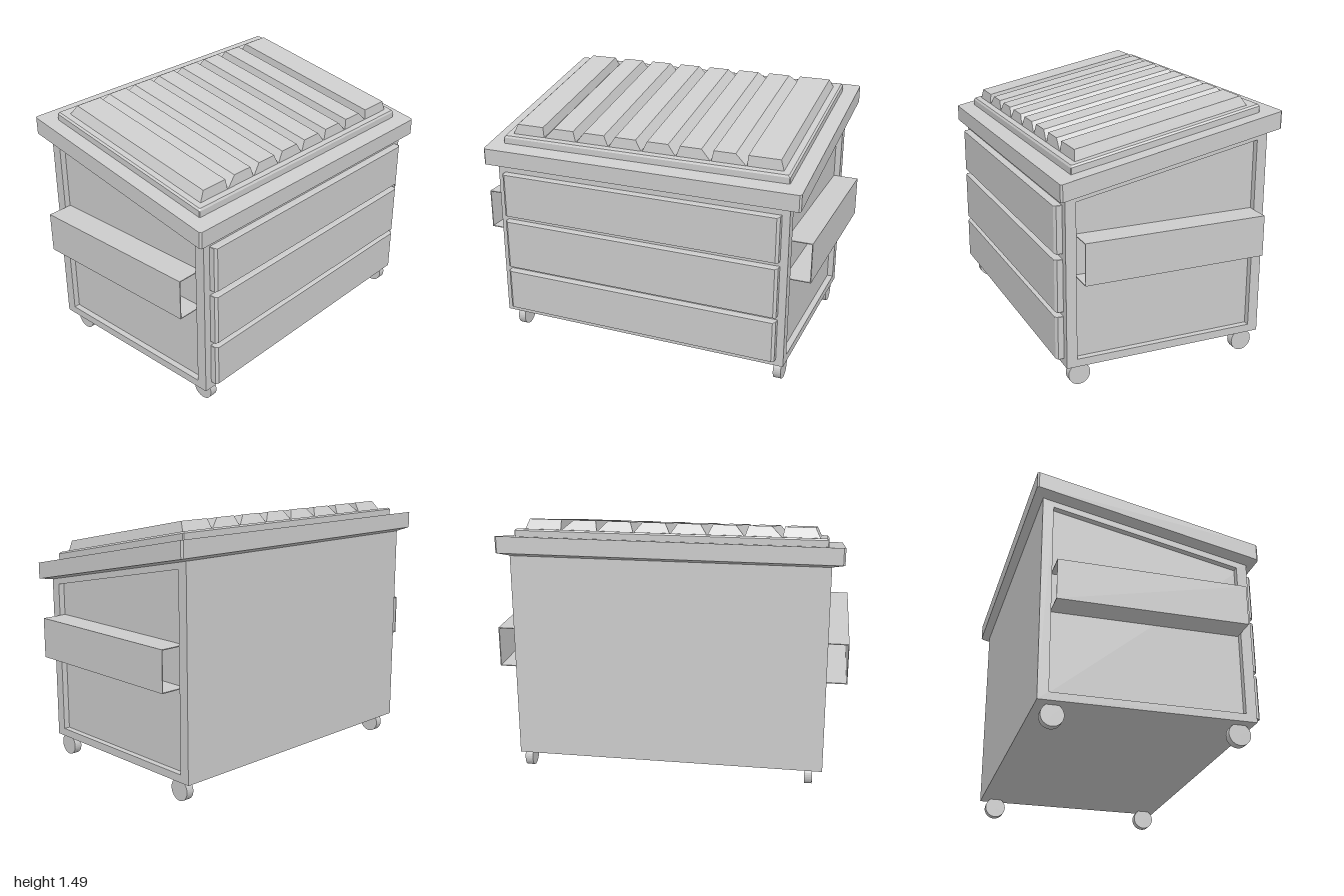
import * as THREE from 'three';

const SLOPE = 0.2; // the lid rises towards the back
const material = new THREE.MeshStandardMaterial({ color: 0xcccccc, flatShading: true });

function add(parent, name, geometry, x = 0, y = 0, z = 0) {
  const mesh = new THREE.Mesh(geometry, material);
  mesh.name = name;
  mesh.position.set(x, y, z);
  parent.add(mesh);
  return mesh;
}

// Rectangle ring with cut corners, anticlockwise from above, y following the slope
function ring(hx, hz, y, cut = 0.01, slope = SLOPE) {
  return [
    [hx - cut, hz], [hx, hz - cut], [hx, cut - hz], [hx - cut, -hz],
    [cut - hx, -hz], [-hx, cut - hz], [-hx, hz - cut], [cut - hx, hz],
  ].map(([x, z]) => [x, y - slope * z, z]);
}

// Closed solid through a stack of rings, bottom to top
function loft(rings) {
  const pos = [];
  const n = rings[0].length;
  const tri = (a, b, c) => pos.push(...a, ...b, ...c);
  for (let k = 0; k + 1 < rings.length; k++) {
    for (let i = 0; i < n; i++) {
      const j = (i + 1) % n;
      tri(rings[k][i], rings[k][j], rings[k + 1][j]);
      tri(rings[k][i], rings[k + 1][j], rings[k + 1][i]);
    }
  }
  const low = rings[0], high = rings[rings.length - 1];
  for (let i = 1; i + 1 < n; i++) {
    tri(low[0], low[i + 1], low[i]);
    tri(high[0], high[i], high[i + 1]);
  }
  const geometry = new THREE.BufferGeometry();
  geometry.setAttribute('position', new THREE.Float32BufferAttribute(pos, 3));
  geometry.computeVertexNormals();
  return geometry;
}

// Side outline in (z, y) with a sloping top
function sideOutline(hz, bottom, top, Type = THREE.Shape) {
  return new Type([
    new THREE.Vector2(-hz, bottom), new THREE.Vector2(hz, bottom),
    new THREE.Vector2(hz, top - SLOPE * hz), new THREE.Vector2(-hz, top + SLOPE * hz),
  ]);
}

// Extrude a side outline across x, centred
function extrudeAcross(shape, width) {
  return new THREE.ExtrudeGeometry(shape, { depth: width, bevelEnabled: false })
    .translate(0, 0, -width / 2).rotateY(-Math.PI / 2);
}

export function createModel() {
  const model = new THREE.Group();
  model.name = 'dumpster';

  // Container with a raised frame round each side panel
  add(model, 'container', extrudeAcross(sideOutline(0.59, 0.115, 1.195), 1.7));
  const frame = sideOutline(0.59, 0.115, 1.195);
  frame.holes.push(sideOutline(0.53, 0.16, 1.154, THREE.Path));
  const frameGeometry = extrudeAcross(frame, 0.035);

  for (const side of [-1, 1]) {
    const label = side > 0 ? 'left' : 'right';
    add(model, label + 'SideFrame', frameGeometry, side * 0.8675);

    // Open-ended fork pocket
    const pocket = new THREE.Group();
    pocket.name = label + 'ForkPocket';
    add(pocket, 'pocketTop', new THREE.BoxGeometry(0.15, 0.005, 1.055), side * 0.925, 0.86);
    add(pocket, 'pocketBottom', new THREE.BoxGeometry(0.15, 0.005, 1.055), side * 0.925, 0.632);
    add(pocket, 'pocketWall', new THREE.BoxGeometry(0.005, 0.233, 1.055), side * 0.9975, 0.746);
    model.add(pocket);
  }

  // Raised front panels with bevelled edges
  for (const [bottom, top] of [[0.155, 0.405], [0.43, 0.73], [0.76, 1.027]]) {
    const h = (top - bottom) / 2;
    const panel = loft([
      ring(0.842, h, -0.01, 0.002, 0),
      ring(0.842, h, 0.032, 0.002, 0),
      ring(0.826, h - 0.004, 0.043, 0.002, 0),
    ]).rotateX(Math.PI / 2);
    add(model, 'frontPanel', panel, 0, (top + bottom) / 2, 0.59);
  }

  // Wheels
  const wheel = new THREE.CylinderGeometry(0.0625, 0.0625, 0.045, 32).rotateZ(Math.PI / 2);
  for (const x of [-0.807, 0.846]) {
    for (const z of [0.512, -0.498]) add(model, 'wheel', wheel, x, 0.0625, z);
  }

  // Lid with overhanging rim and raised step
  const lid = new THREE.Group();
  lid.name = 'lid';
  add(lid, 'lidRim', loft([
    ring(0.885, 0.595, 1.19), ring(0.953, 0.637, 1.203), ring(0.953, 0.637, 1.298),
  ]));
  add(lid, 'lidStep', loft([
    ring(0.865, 0.548, 1.29, 0.004), ring(0.865, 0.548, 1.333, 0.004),
    ring(0.855, 0.541, 1.343, 0.004),
  ]));

  // Ribs: evenly spaced at the base, drawn in towards the middle at the top
  const rect = (x0, x1, front, back, y) =>
    [[x1, front], [x1, back], [x0, back], [x0, front]].map(([x, z]) => [x, y - SLOPE * z, z]);
  for (let i = 0; i < 8; i++) {
    const base = -0.82 + i * 0.205;
    const left = i === 0 ? -0.79 : -0.555 + (i - 1) * 0.1955;
    const right = i === 7 ? 0.8 : -0.625 + i * 0.1955;
    add(lid, 'lidRib', loft([
      rect(base, base + 0.205, 0.51, -0.495, 1.338),
      rect(left, right, 0.503, -0.46, 1.4),
    ]));
  }
  model.add(lid);
  return model;
}
